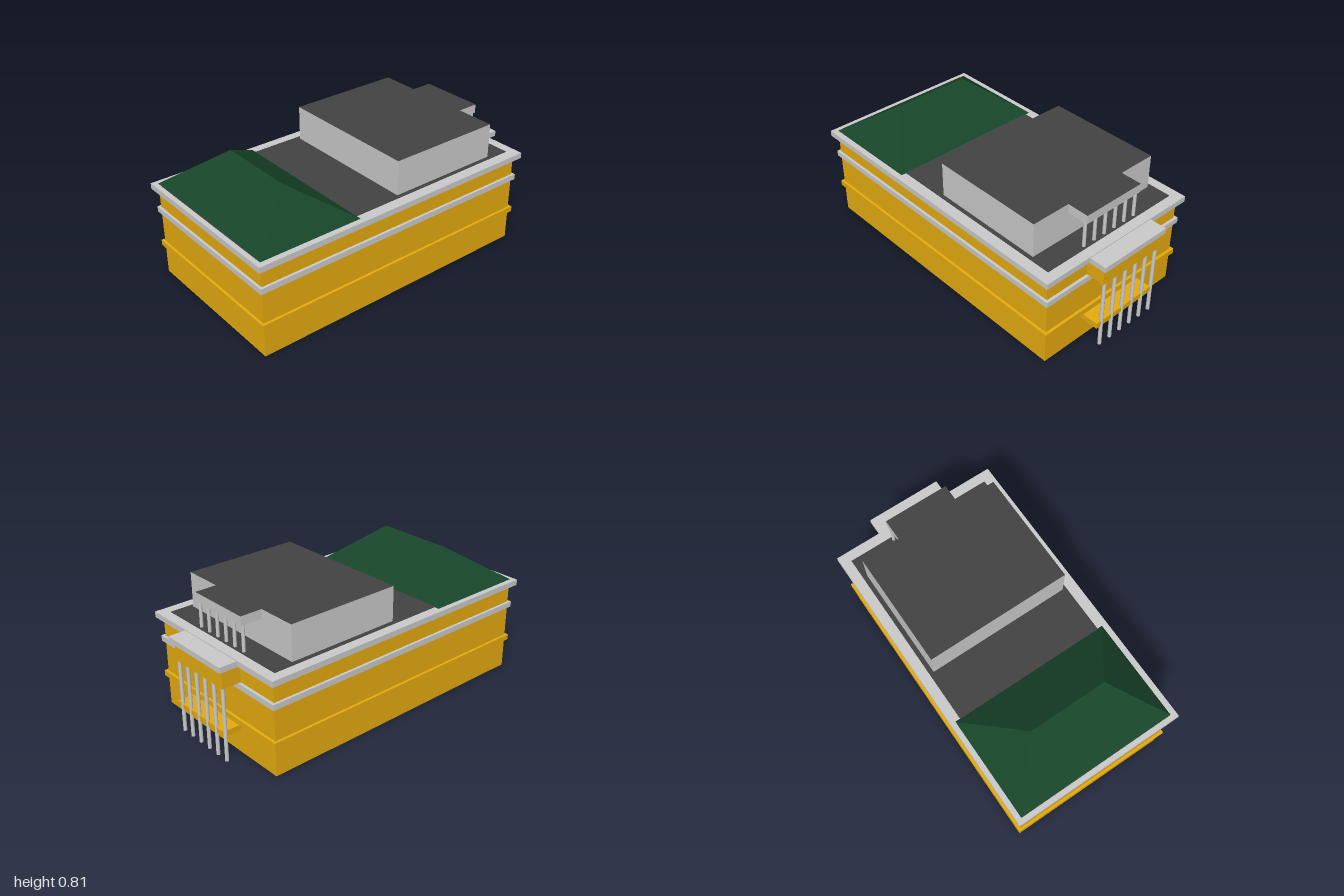
import * as THREE from 'three';

const paint = (color) => new THREE.MeshStandardMaterial({ color });

export function createModel() {
  const group = new THREE.Group();
  const grey = paint(0xcccccc), ochre = paint(0xe6ac0f), dark = paint(0x434343), green = paint(0x17452a);

  // Box given by its limits along each axis
  function block(name, [x0, x1], [y0, y1], [z0, z1], material) {
    const mesh = new THREE.Mesh(new THREE.BoxGeometry(x1 - x0, y1 - y0, z1 - z0), material);
    mesh.position.set((x0 + x1) / 2, (y0 + y1) / 2, (z0 + z1) / 2);
    mesh.name = name;
    group.add(mesh);
  }

  // Evenly spaced row of six round columns running along z
  function colonnade(name, x, [y0, y1], [z0, z1], radius) {
    const row = new THREE.Group();
    row.name = name;
    const shaft = new THREE.CylinderGeometry(radius, radius, y1 - y0, 16);
    for (let i = 0; i < 6; i++) {
      const column = new THREE.Mesh(shaft, grey);
      column.name = 'column';
      column.position.set(x, (y0 + y1) / 2, z0 + (z1 - z0) * i / 5);
      row.add(column);
    }
    group.add(row);
  }

  // Main block with grey underside, string courses and cornice
  block('walls', [-0.97, 0.86], [0, 0.57], [-0.502, 0.502], [ochre, ochre, ochre, grey, ochre, ochre]);
  block('lowerBand', [-0.985, 0.877], [0.182, 0.216], [-0.518, 0.518], ochre);
  block('upperBand', [-0.985, 0.877], [0.41, 0.444], [-0.518, 0.518], grey);
  block('cornice', [-1, 0.893], [0.557, 0.592], [-0.537, 0.537], grey);
  block('flatRoof', [-0.97, 0.83], [0.57, 0.595], [-0.475, 0.47], dark);

  // Portico on the left end
  block('porticoBeam', [0.855, 0.977], [0.444, 0.555], [-0.223, 0.21], ochre);
  block('porticoCap', [0.855, 1], [0.553, 0.587], [-0.243, 0.23], grey);
  block('balcony', [0.855, 0.973], [0.142, 0.177], [-0.203, 0.232], ochre);
  colonnade('porticoColumns', 0.967, [0, 0.446], [-0.212, 0.19], 0.011);

  // Rooftop storey with a dark top and a canopy on columns
  const darkTop = [grey, grey, dark, grey, grey, grey];
  block('penthouse', [-0.02, 0.696], [0.594, 0.807], [-0.448, 0.446], darkTop);
  block('canopy', [0.696, 0.83], [0.753, 0.807], [-0.207, 0.2], darkTop);
  colonnade('canopyColumns', 0.81, [0.594, 0.754], [-0.194, 0.191], 0.01);

  // Hipped roof: four eave corners and two ridge ends
  const y = 0.593, top = 0.811;
  const hip = new THREE.BufferGeometry();
  hip.setAttribute('position', new THREE.Float32BufferAttribute([
    -0.97, y, 0.502, -0.33, y, 0.502, -0.33, y, -0.506, -0.97, y, -0.506,
    -0.65, top, 0.253, -0.65, top, -0.231,
  ], 3));
  hip.setIndex([0, 1, 4, 1, 2, 5, 1, 5, 4, 2, 3, 5, 3, 0, 4, 3, 4, 5, 0, 3, 2, 0, 2, 1]);
  const flatHip = hip.toNonIndexed();
  flatHip.computeVertexNormals();
  const hippedRoof = new THREE.Mesh(flatHip, green);
  hippedRoof.name = 'hippedRoof';
  group.add(hippedRoof);

  return group;
}
